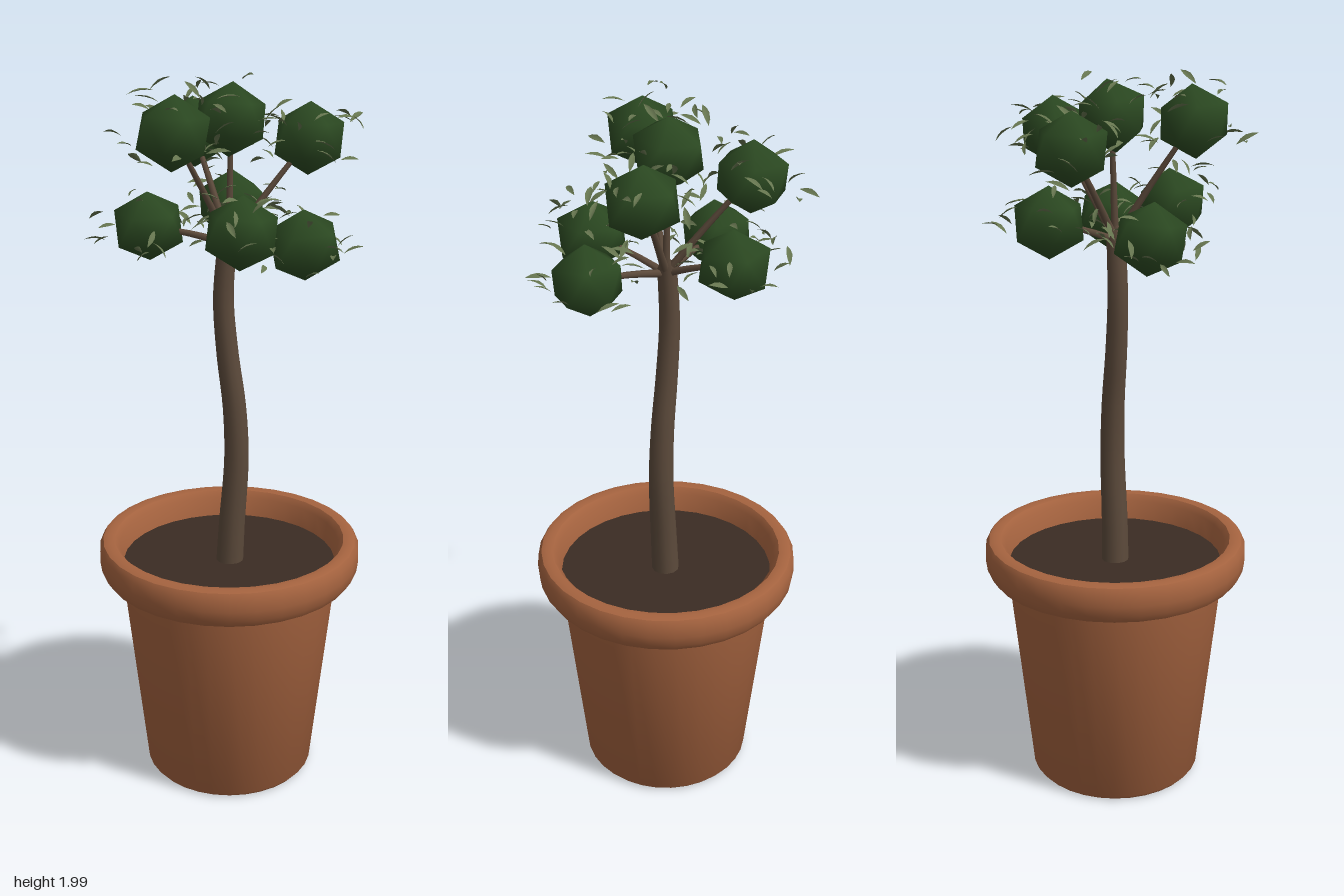
import * as THREE from 'three';
import { mergeGeometries, mergeVertices, toCreasedNormals } from 'three/addons/utils/BufferGeometryUtils.js';

const paint = (color, side = THREE.FrontSide) => new THREE.MeshStandardMaterial({ color, side });
const terracotta = paint(0xa5633f);
const soilBrown = paint(0x3b2c23);
const bark = paint(0x5c4a3b);
const darkGreen = paint(0x2c4a22);
const leafGreen = paint(0x66754f, THREE.DoubleSide);

// Foliage clumps: x, y, z
const CLUMPS = [
  [0.0, 1.87, -0.01], [-0.07, 1.615, -0.185], [-0.16, 1.81, -0.14], [0.17, 1.815, -0.13],
  [0.22, 1.575, 0.035], [0.105, 1.625, 0.175], [-0.07, 1.86, 0.19], [-0.208, 1.59, 0.05],
];

function seeded(seed) {
  return () => {
    seed = (seed * 16807) % 2147483647;
    return seed / 2147483647;
  };
}

function named(name, geometry, material) {
  const mesh = new THREE.Mesh(geometry, material);
  mesh.name = name;
  return mesh;
}

function lathe(profile, segments = 32) {
  const points = profile.map(([r, y]) => new THREE.Vector2(r, y));
  return toCreasedNormals(new THREE.LatheGeometry(points, segments), 0.7);
}

// Tube through points, narrowing from r0 to r1 and closed at its tip
function taperedTube(points, r0, r1, rings, sides) {
  const curve = new THREE.CatmullRomCurve3(points.map((p) => new THREE.Vector3(...p)));
  const geometry = new THREE.TubeGeometry(curve, rings, 1, sides);
  const pos = geometry.attributes.position;
  const v = new THREE.Vector3();
  for (let i = 0; i < pos.count; i++) {
    const ring = Math.floor(i / (sides + 1));
    const centre = curve.getPointAt(ring / rings);
    const r = ring === rings ? 0 : THREE.MathUtils.lerp(r0, r1, ring / rings);
    v.fromBufferAttribute(pos, i).sub(centre).multiplyScalar(r).add(centre);
    pos.setXYZ(i, v.x, v.y, v.z);
  }
  return geometry;
}

// Smooth low-poly clump with a corner pointing straight up
function clumpGeometry() {
  let geometry = new THREE.IcosahedronGeometry(1, 0);
  geometry.rotateX(-Math.atan((1 + Math.sqrt(5)) / 2));
  geometry.deleteAttribute('uv');
  geometry.deleteAttribute('normal');
  geometry = mergeVertices(geometry, 1e-3);
  geometry.computeVertexNormals();
  return geometry;
}

// Slender pointed leaf along z, folded down the middle and slightly arched
function leafGeometry() {
  const geometry = new THREE.PlaneGeometry(1, 1, 2, 4).rotateX(-Math.PI / 2);
  const pos = geometry.attributes.position;
  for (let i = 0; i < pos.count; i++) {
    const z = pos.getZ(i);
    const width = 0.26 * Math.cos(z * Math.PI);
    const x = pos.getX(i) * width;
    pos.setXYZ(i, x, Math.abs(x) * 0.4 - z * z * 0.3, z);
  }
  geometry.computeVertexNormals();
  return geometry;
}

function createPot() {
  const pot = new THREE.Group();
  pot.name = 'pot';
  pot.add(
    named('potBody', lathe([[0, 0], [0.23, 0], [0.24, 0.012], [0.305, 0.62]]), terracotta),
    named('potRim', lathe([
      [0.295, 0.615], [0.325, 0.603], [0.348, 0.61], [0.362, 0.632], [0.366, 0.66],
      [0.364, 0.695], [0.355, 0.71], [0.34, 0.715], [0.322, 0.712], [0.308, 0.695], [0.295, 0.615],
    ]), terracotta),
  );
  const soil = named('soil', new THREE.CircleGeometry(0.3, 32).rotateX(-Math.PI / 2), soilBrown);
  soil.position.y = 0.64;
  pot.add(soil);
  return pot;
}

function createTree() {
  const tree = new THREE.Group();
  tree.name = 'tree';
  const random = seeded(731);

  // Gently swaying trunk
  tree.add(named('trunk', taperedTube([
    [0, 0.6, 0], [0.008, 0.75, 0], [0.02, 0.95, -0.004], [0.014, 1.1, -0.003],
    [-0.004, 1.25, 0.002], [-0.015, 1.4, 0.004], [-0.008, 1.52, 0.002], [0, 1.6, 0],
  ], 0.039, 0.025, 28, 12), bark));

  const clump = clumpGeometry();
  const leaf = leafGeometry();
  const leaves = [];
  const dummy = new THREE.Object3D();
  dummy.rotation.order = 'YXZ';

  CLUMPS.forEach(([x, y, z], n) => {
    // Branch from the trunk top into the clump
    tree.add(named(`branch${n + 1}`, taperedTube([
      [0, 1.55, 0], [x * 0.45, 1.55 + (y - 1.55) * 0.45 + 0.005, z * 0.45], [x, y, z],
    ], 0.011, 0.006, 6, 6), bark));

    const ball = named(`foliageClump${n + 1}`, clump, darkGreen);
    ball.position.set(x, y, z);
    ball.rotation.set((random() - 0.5) * 0.2, random() * 6.28, (random() - 0.5) * 0.2);
    ball.scale.set(0.1, 0.094, 0.1);
    tree.add(ball);

    // Loose leaves scattered around the clump
    for (let i = 0; i < 19; i++) {
      const angle = i * 2.4 + random();
      const up = -0.55 + 1.5 * random();
      const flat = Math.sqrt(1 - up * up);
      const reach = 0.115 + 0.035 * random();
      dummy.position.set(
        x + Math.cos(angle) * flat * reach,
        y + up * reach * 0.85,
        z + Math.sin(angle) * flat * reach,
      );
      dummy.rotation.set((random() - 0.5) * 1.4, random() * 6.28, (random() - 0.5) * 1.4);
      dummy.scale.setScalar(0.048 + 0.02 * random());
      dummy.updateMatrix();
      leaves.push(leaf.clone().applyMatrix4(dummy.matrix));
    }
  });
  tree.add(named('leaves', mergeGeometries(leaves), leafGreen));
  return tree;
}

export function createModel() {
  const model = new THREE.Group();
  model.name = 'pottedTree';
  model.add(createPot(), createTree());
  return model;
}
